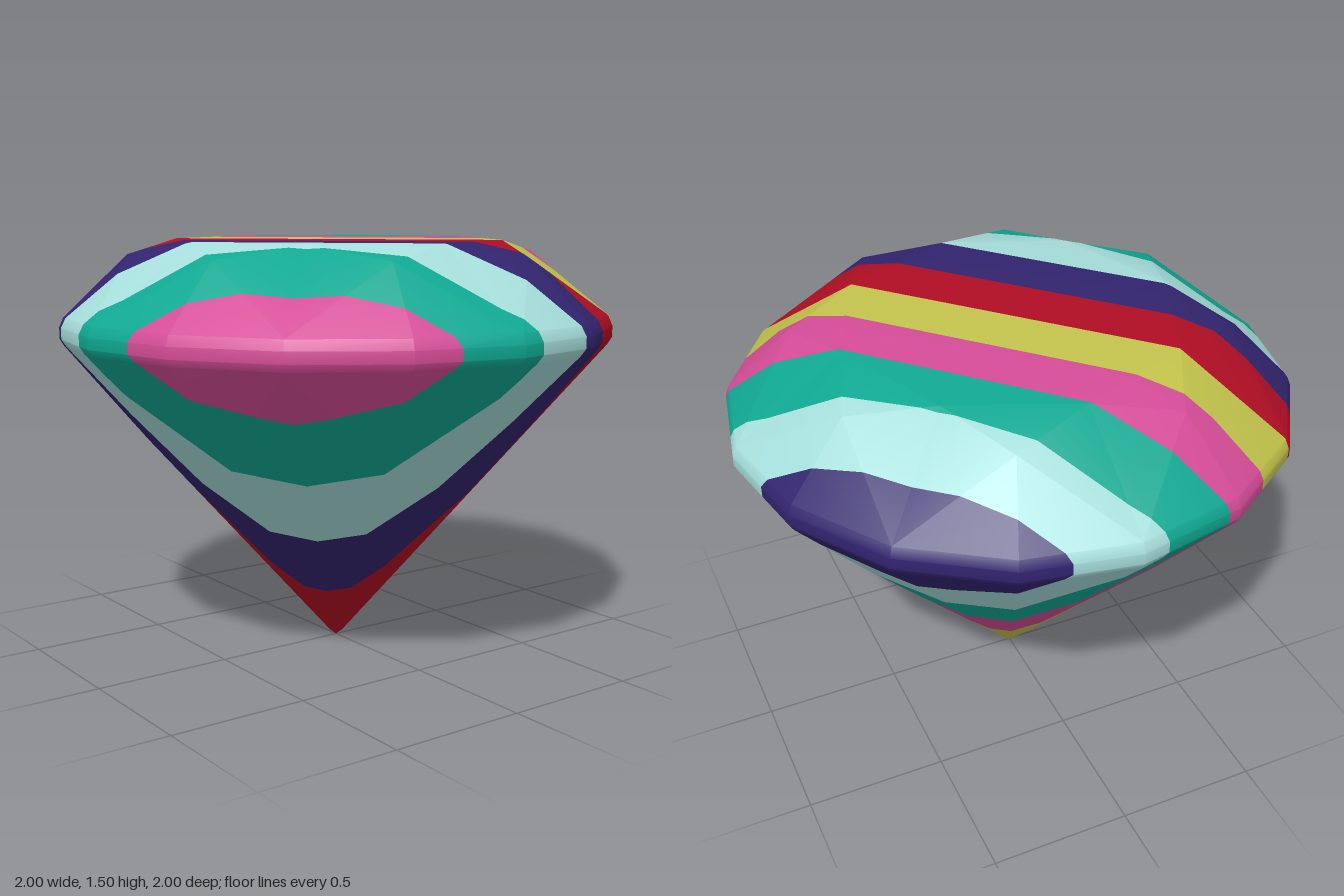
import * as THREE from 'three';

const mat = (name, color) => Object.assign(new THREE.MeshStandardMaterial({ color }), { name });

// Point on a ring: index 0..15 around the gem
const P = (i, r, y) => {
  const k = (i + 16) % 16, a = (k * Math.PI) / 8;
  return new THREE.Vector3(r * Math.sin(a), y, r * Math.cos(a));
};

// Facet triangles of the whole cut stone
function gemFacets() {
  const tris = [];
  const tri = (...p) => tris.push(p);
  const apex = new THREE.Vector3(0, 0, 0), top = new THREE.Vector3(0, 1.5, 0);
  const tip = i => P(i, 0.025, 0.02);
  const girdle = [[0.985, 1.135], [1, 1.16], [1, 1.2], [0.985, 1.235]];
  const G = (i, k) => P(i, ...girdle[k]);
  const table = i => P(i, 0.6, 1.5);

  // Rounded point and girdle bands
  for (let i = 0; i < 16; i++) {
    tri(apex, tip(i + 1), tip(i));
    for (let k = 0; k < 3; k++) {
      tri(G(i, k), G(i + 1, k), G(i + 1, k + 1));
      tri(G(i, k), G(i + 1, k + 1), G(i, k + 1));
    }
  }
  for (let i = 1; i < 16; i += 2) {
    const low = P(i, 0.7, 0.79), high = P(i, 0.757, 1.452);
    // Pavilion and crown facets, mirrored about each odd meridian
    for (const side of [-1, 1]) {
      const j = i + side;
      const add = (a, b, c) => (side < 0 ? tri(a, b, c) : tri(a, c, b));
      add(tip(j), tip(i), low);
      add(tip(j), low, G(j, 0));
      add(G(j, 0), low, G(i, 0));
      add(G(j, 3), G(i, 3), high);
      add(G(j, 3), high, table(j));
    }
    // Star facet and table
    tri(table(i - 1), high, table(i + 1));
    tri(top, table(i - 1), table(i + 1));
  }
  return tris;
}

// Gives every corner a normal halfway between its facet and the smooth surface
function softened(tris) {
  const sums = new Map();
  const key = p => [p.x, p.y, p.z].map(v => Math.round(v * 1e4)).join();
  const faces = tris.map(([a, b, c]) => {
    const n = b.clone().sub(a).cross(c.clone().sub(a));
    for (const p of [a, b, c]) {
      if (!sums.has(key(p))) sums.set(key(p), new THREE.Vector3());
      sums.get(key(p)).add(n);
    }
    return n.clone().normalize();
  });
  return tris.map((t, f) => t.map(p => ({
    p, n: sums.get(key(p)).clone().normalize().add(faces[f]).normalize(),
  })));
}

// Stripe direction across the stone
const across = new THREE.Vector3(0.7, 0, 0.714);
const STEP = 0.2065;

// Keeps the part of a polygon where sign * (distance - limit) >= 0
function clip(poly, limit, sign) {
  const out = [];
  poly.forEach((a, i) => {
    const b = poly[(i + 1) % poly.length];
    const da = sign * (a.p.dot(across) - limit), db = sign * (b.p.dot(across) - limit);
    if (da >= 0) out.push(a);
    if ((da > 0 && db < 0) || (da < 0 && db > 0)) {
      const t = da / (da - db);
      out.push({ p: a.p.clone().lerp(b.p, t), n: a.n.clone().lerp(b.n, t).normalize() });
    }
  });
  return out;
}

export function createModel() {
  const gem = new THREE.Group();
  gem.name = 'stripedGem';
  const navy = mat('navy', 0x32246f), pale = mat('paleAqua', 0xa6dedb), teal = mat('teal', 0x10a892),
    pink = mat('pink', 0xd44c97), yellow = mat('yellow', 0xc3c44c), red = mat('red', 0xb20e24);
  const stripes = [navy, pale, teal, pink, yellow, red, navy, pale, teal, pink];
  const facets = softened(gemFacets());

  // One mesh per colour stripe, sliced from the stone
  stripes.forEach((material, s) => {
    const lo = s === 0 ? -2 : (s - 5) * STEP, hi = s === 9 ? 2 : (s - 4) * STEP;
    const pos = [], nor = [];
    for (const facet of facets) {
      const poly = clip(clip(facet, lo, 1), hi, -1);
      for (let i = 1; i + 1 < poly.length; i++)
        for (const v of [poly[0], poly[i], poly[i + 1]]) {
          pos.push(...v.p.toArray());
          nor.push(...v.n.toArray());
        }
    }
    const geo = new THREE.BufferGeometry();
    geo.setAttribute('position', new THREE.Float32BufferAttribute(pos, 3));
    geo.setAttribute('normal', new THREE.Float32BufferAttribute(nor, 3));
    const mesh = new THREE.Mesh(geo, material);
    mesh.name = `${material.name}Stripe${s + 1}`;
    gem.add(mesh);
  });
  return gem;
}
